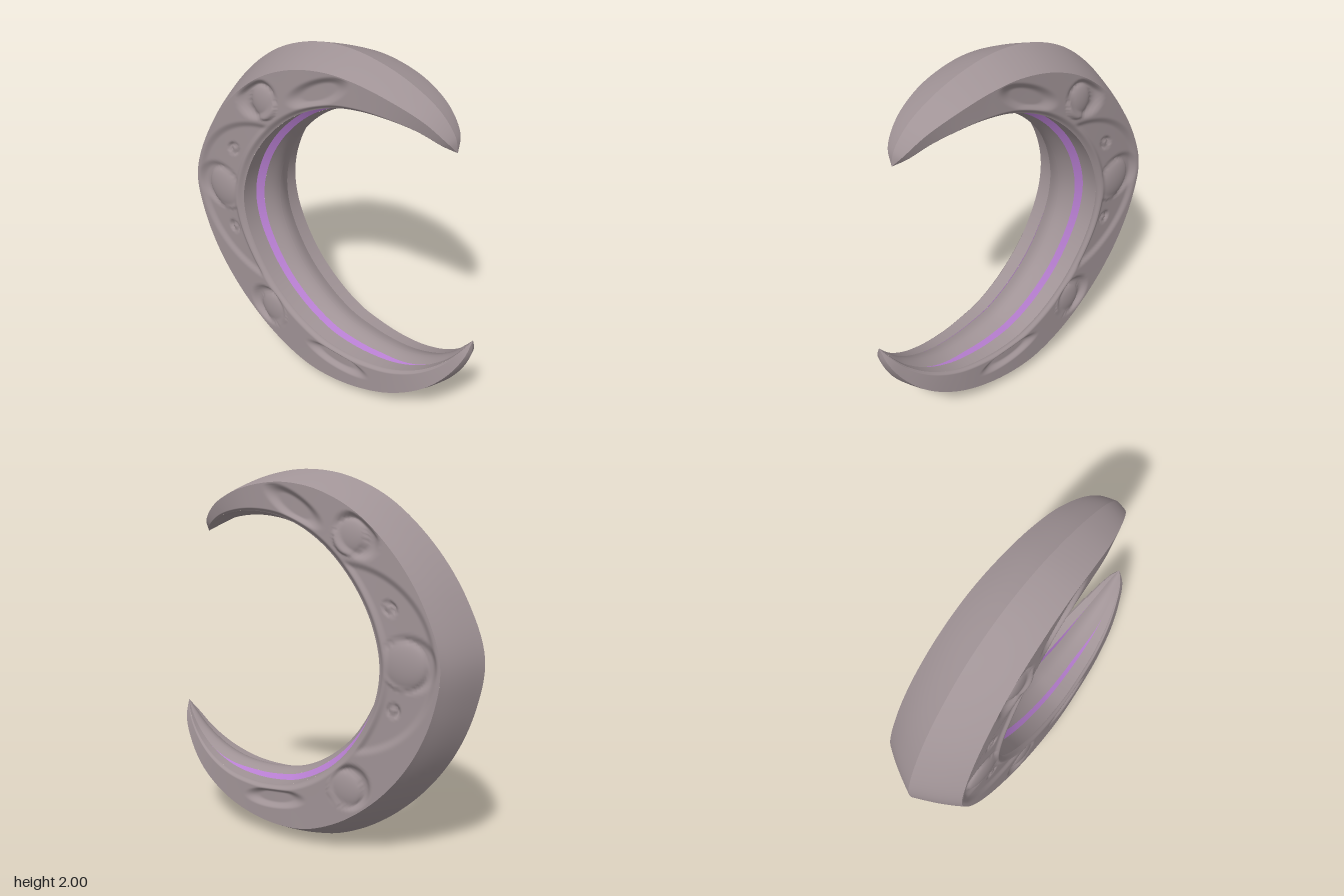
import * as THREE from 'three';

// Stations from the upper tip to the lower tip:
// outer edge x, y, inner edge x, y, half thickness
const STATIONS = [
  [0.738, 1.66, 0.738, 1.66, 0], [0.72, 1.735, 0.68, 1.69, 0.055], [0.63, 1.835, 0.57, 1.735, 0.105],
  [0.46, 1.925, 0.42, 1.757, 0.15], [0.27, 1.98, 0.28, 1.75, 0.172], [0.08, 2.0, 0.15, 1.72, 0.185],
  [-0.15, 1.97, 0, 1.65, 0.2], [-0.4, 1.86, -0.13, 1.55, 0.212], [-0.65, 1.64, -0.26, 1.4, 0.225],
  [-0.83, 1.38, -0.35, 1.23, 0.233], [-0.932, 1.1, -0.39, 1.05, 0.238], [-0.9, 0.85, -0.375, 0.89, 0.235],
  [-0.79, 0.58, -0.31, 0.735, 0.23], [-0.6, 0.33, -0.2, 0.58, 0.223], [-0.35, 0.13, -0.05, 0.455, 0.215],
  [-0.1, 0.02, 0.1, 0.38, 0.205], [0.08, 0, 0.22, 0.355, 0.197], [0.3, 0.025, 0.36, 0.345, 0.18],
  [0.53, 0.11, 0.52, 0.36, 0.158], [0.73, 0.25, 0.67, 0.415, 0.125], [0.85, 0.4, 0.79, 0.5, 0.085],
  [0.915, 0.55, 0.87, 0.59, 0.045], [0.92, 0.655, 0.92, 0.655, 0],
];
const outer = new THREE.CatmullRomCurve3(STATIONS.map(s => new THREE.Vector3(s[0], s[1], s[4])));
const inner = new THREE.CatmullRomCurve3(STATIONS.map(s => new THREE.Vector3(s[2], s[3], 0)));
const smooth = THREE.MathUtils.smoothstep;

// Recessed panels on the flat faces: x, y, radius x, radius y, angle, depth
const PANELS = [
  [-0.25, 1.06, 0.54, 0.5, 0, 0.016],
  [-0.63, 1.07, 0.17, 0.15, 0, 0.016],
  [-0.33, 1.68, 0.15, 0.11, 0.6, 0.026],
  [0.05, 1.815, 0.22, 0.07, 0.5, 0.024],
  [-0.3, 0.39, 0.14, 0.13, -0.6, 0.026],
  [0.18, 0.235, 0.22, 0.06, -0.12, 0.024],
  [-0.52, 1.335, 0.045, 0.04, 0, 0.018],
  [-0.55, 0.83, 0.045, 0.04, 0, 0.018],
];
// Raised domes: x, y, radius, height
const DOMES = [
  [-0.6, 1.06, 0.125, 0.034], [-0.29, 1.67, 0.09, 0.028], [-0.27, 0.375, 0.1, 0.028],
  [-0.515, 1.335, 0.026, 0.018], [-0.545, 0.83, 0.026, 0.018],
];

function relief(x, y) {
  let h = 0;
  for (const [px, py, rx, ry, a, depth] of PANELS) {
    const dx = x - px, dy = y - py, c = Math.cos(a), s = Math.sin(a);
    const d = Math.hypot((dx * c + dy * s) / rx, (dy * c - dx * s) / ry);
    const soft = Math.min(0.5, 0.04 / Math.min(rx, ry));
    h -= depth * (1 - smooth(d, 1 - soft, 1));
  }
  for (const [px, py, r, height] of DOMES) {
    const d = Math.hypot(x - px, y - py) / r;
    if (d < 1) h += height * Math.sqrt(1 - d * d);
  }
  return h;
}

// Point on the section at u along the crescent: t = outer to inner, w = share of the thickness
function sectionPoint(u, t, w) {
  const o = outer.getPoint(u), i = inner.getPoint(u);
  return new THREE.Vector3(o.x + (i.x - o.x) * t, o.y + (i.y - o.y) * t, Math.max(0, o.z) * w);
}

// Lofts a strip along the crescent; profile(v, u) returns [t, w]
function strip(side, profile, nu, nv, u0 = 0, u1 = 1, carved = false) {
  const pos = [], index = [];
  for (let i = 0; i <= nu; i++) {
    const u = u0 + (u1 - u0) * i / nu;
    for (let j = 0; j <= nv; j++) {
      const v = j / nv;
      const p = sectionPoint(u, ...profile(v, u));
      if (carved) {
        const fade = smooth(v, 0, 0.1) * (1 - smooth(v, 0.8, 0.92)) * smooth(u, 0.1, 0.16) * (1 - smooth(u, 0.82, 0.88));
        p.z += relief(p.x, p.y) * fade;
      }
      pos.push(p.x, p.y, p.z * side);
      if (i < nu && j < nv) {
        const a = i * (nv + 1) + j, b = a + nv + 1;
        if (side > 0) index.push(a, b, a + 1, b, b + 1, a + 1);
        else index.push(a, a + 1, b, b, a + 1, b + 1);
      }
    }
  }
  const g = new THREE.BufferGeometry();
  g.setAttribute('position', new THREE.Float32BufferAttribute(pos, 3));
  g.setIndex(index);
  g.computeVertexNormals();
  return g;
}

const line = (a, b) => v => [a[0] + (b[0] - a[0]) * v, a[1] + (b[1] - a[1]) * v];

export function createModel() {
  const group = new THREE.Group();
  const stone = new THREE.MeshStandardMaterial({ color: 0xa09396 });
  stone.name = 'warm grey';
  const glow = new THREE.MeshStandardMaterial({ color: 0xb87fd2 });
  glow.name = 'violet';

  // The inlay narrows to nothing toward both tips
  const open = u => smooth(u, 0.15, 0.25) * (1 - smooth(u, 0.78, 0.88));
  const inlayEnd = u => [0.87 + 0.07 * open(u), 0.5 - 0.11 * open(u)];

  for (const side of [1, -1]) {
    const name = side > 0 ? 'front' : 'back';
    const add = (part, geometry, material = stone) => {
      const mesh = new THREE.Mesh(geometry, material);
      mesh.name = name + part;
      group.add(mesh);
    };
    // Sloped outer edge, slightly bulged
    add('OuterBevel', strip(side, v => [0.24 * v, v + 0.06 * Math.sin(Math.PI * v)], 160, 6));
    // Carved flat face, rounding over into the rim
    add('CarvedFace', strip(side, v => {
      const k = smooth(v, 0.88, 1);
      return [0.24 + 0.62 * v, 1 - 0.02 * v - 0.1 * k];
    }, 340, 42, 0, 1, true));
    // Channel wall behind the rim
    add('ChannelWall', strip(side, line([0.86, 0.88], [0.87, 0.5]), 160, 2));
    // Violet inlay
    add('Inlay', strip(side, (v, u) => line([0.87, 0.5], inlayEnd(u))(v), 140, 1, 0.15, 0.88), glow);
    // Inner ring, from the inlay to the middle
    add('InnerRing', strip(side, (v, u) => {
      const e = inlayEnd(u);
      return [e[0] + (1 - e[0]) * Math.sin(v * Math.PI / 2), e[1] * (1 - v)];
    }, 160, 8));
  }
  return group;
}
